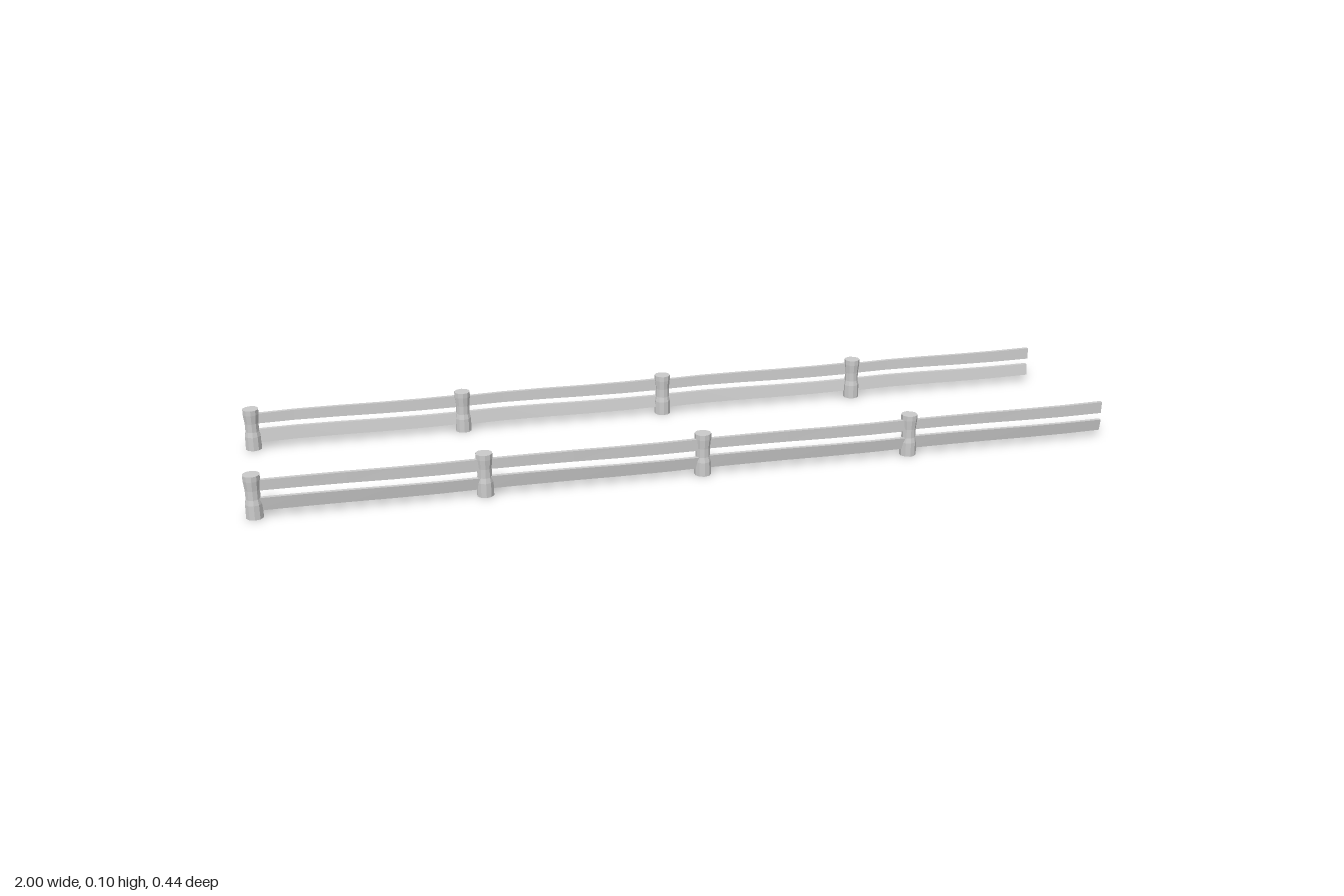
import * as THREE from 'three';

const PITCH = 0.4975;
const FIRST = -0.98;
const material = new THREE.MeshStandardMaterial({ color: 0xcccccc, flatShading: true });

// Roughly hewn post, slightly waisted between the rails
function makePost() {
  const profile = [
    [0, 0], [0.0195, 0], [0.019, 0.033], [0.0165, 0.045],
    [0.0165, 0.066], [0.019, 0.088], [0.019, 0.1], [0, 0.1],
  ].map(([r, y]) => new THREE.Vector2(r, y));
  const post = new THREE.Mesh(new THREE.LatheGeometry(profile, 10), material);
  post.name = 'post';
  return post;
}

// Plank with gently uneven edges; lean tips its cross-section outwards
function makeRail(name, length, y, startHeight, endHeight, lean) {
  const geometry = new THREE.BoxGeometry(length, 1, 0.009, 5, 1, 1);
  const p = geometry.attributes.position;
  for (let i = 0; i < p.count; i++) {
    const t = p.getX(i) / length + 0.5;
    const side = p.getY(i) * 2;
    const height = THREE.MathUtils.lerp(startHeight, endHeight, t);
    const drift = 0.003 * THREE.MathUtils.smoothstep(t, 0, 0.25);
    p.setY(i, side * height / 2 + 0.0012 * Math.sin(t * Math.PI * 2));
    p.setZ(i, p.getZ(i) + drift + side * lean);
  }
  geometry.computeVertexNormals();
  const rail = new THREE.Mesh(geometry, material);
  rail.name = name;
  rail.position.set(length / 2, y, 0.0015);
  return rail;
}

// One post with the two rails that run on to the next post
function makeSection(index) {
  const section = new THREE.Group();
  section.name = 'fenceSection';
  const length = index === 3 ? 1 - (FIRST + 3 * PITCH) : PITCH;
  section.add(
    makePost(),
    makeRail('upperRail', length, 0.075, 0.024, 0.028, 0.0005),
    makeRail('lowerRail', length, 0.031, 0.031, 0.028, 0.0025),
  );
  section.position.x = FIRST + index * PITCH;
  return section;
}

function makeFence(name, facing) {
  const fence = new THREE.Group();
  fence.name = name;
  for (let i = 0; i < 4; i++) fence.add(makeSection(i));
  fence.position.z = 0.2 * facing;
  fence.scale.z = facing; // the back run mirrors the front run
  return fence;
}

export function createModel() {
  const model = new THREE.Group();
  model.name = 'pairOfFences';
  model.add(makeFence('frontFence', 1), makeFence('backFence', -1));
  return model;
}
